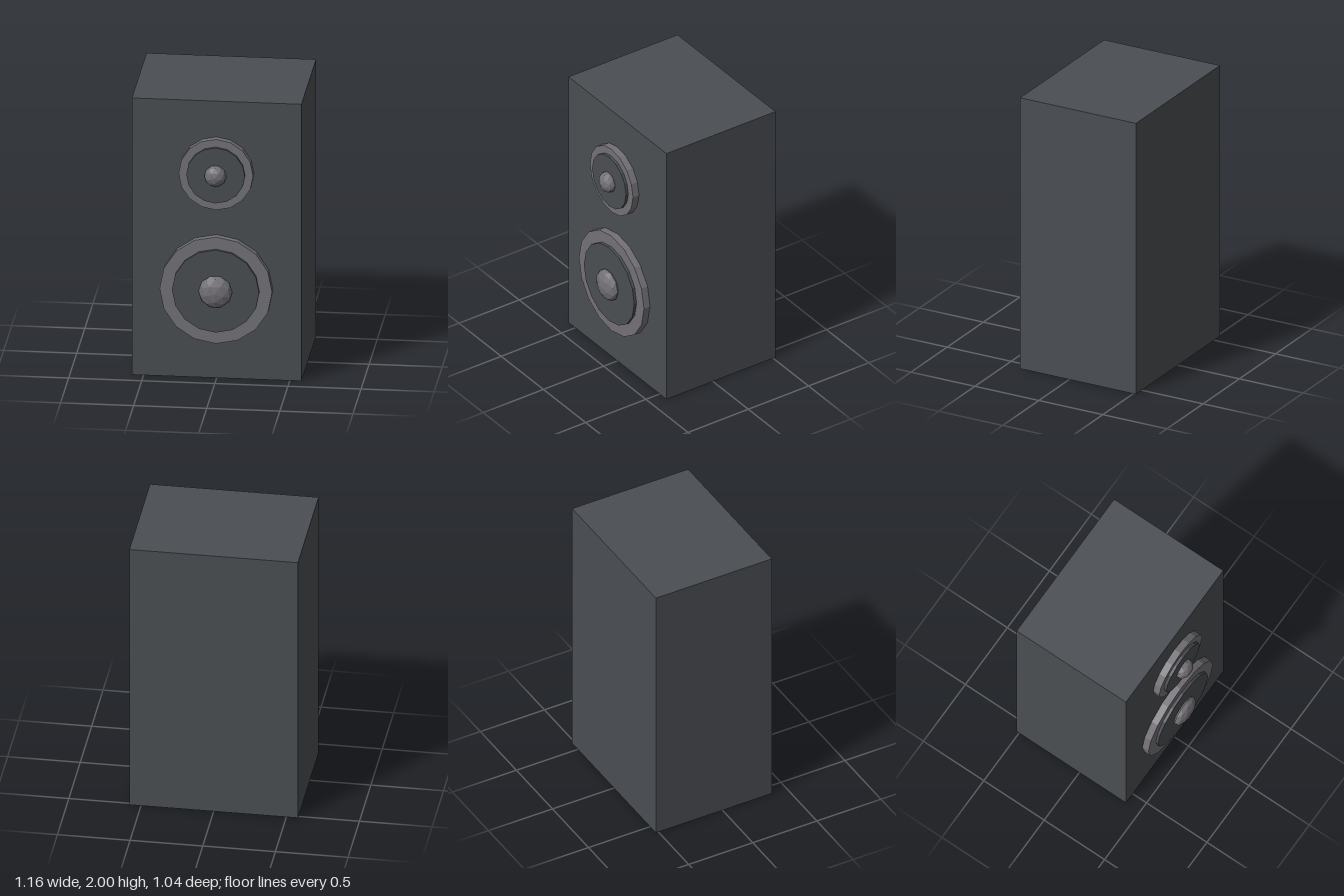
import * as THREE from 'three';

const flat = (name, color) => {
  const m = new THREE.MeshStandardMaterial({ color, flatShading: true });
  m.name = name;
  return m;
};

export function createModel() {
  const charcoal = flat('charcoal', 0x4a4e52);
  const grey = flat('grey', 0x737176);
  const speaker = new THREE.Group();
  speaker.name = 'speaker';

  const add = (parent, name, geometry, material, z) => {
    const mesh = new THREE.Mesh(geometry, material);
    mesh.name = name;
    mesh.position.z = z;
    parent.add(mesh);
    return mesh;
  };

  // Cabinet
  const front = 0.385;
  const cabinet = add(speaker, 'cabinet', new THREE.BoxGeometry(1.16, 2, 0.905), charcoal, front - 0.4525);
  cabinet.position.y = 1;

  // Sixteen-sided disc whose back lies on the cabinet front
  const disc = (radius, depth) =>
    new THREE.CylinderGeometry(radius, radius, depth, 16).rotateX(Math.PI / 2);

  // Drivers: outer rim, raised cone plate and flattened faceted cap
  const driver = (name, y, rimRadius, plateRadius, capRadius) => {
    const group = new THREE.Group();
    group.name = name;
    group.position.y = y;
    add(group, 'rim', disc(rimRadius, 0.05), grey, front + 0.025);
    add(group, 'plate', disc(plateRadius, 0.07), charcoal, front + 0.035);
    const cap = new THREE.IcosahedronGeometry(1, 1)
      .rotateX(Math.atan(2 / (1 + Math.sqrt(5)))) // a vertex points forward
      .scale(capRadius, capRadius, 0.055);
    add(group, 'cap', cap, grey, 0.465);
    speaker.add(group);
  };
  driver('woofer', 0.65, 0.385, 0.298, 0.116);
  driver('tweeter', 1.486, 0.255, 0.2, 0.076);

  return speaker;
}
